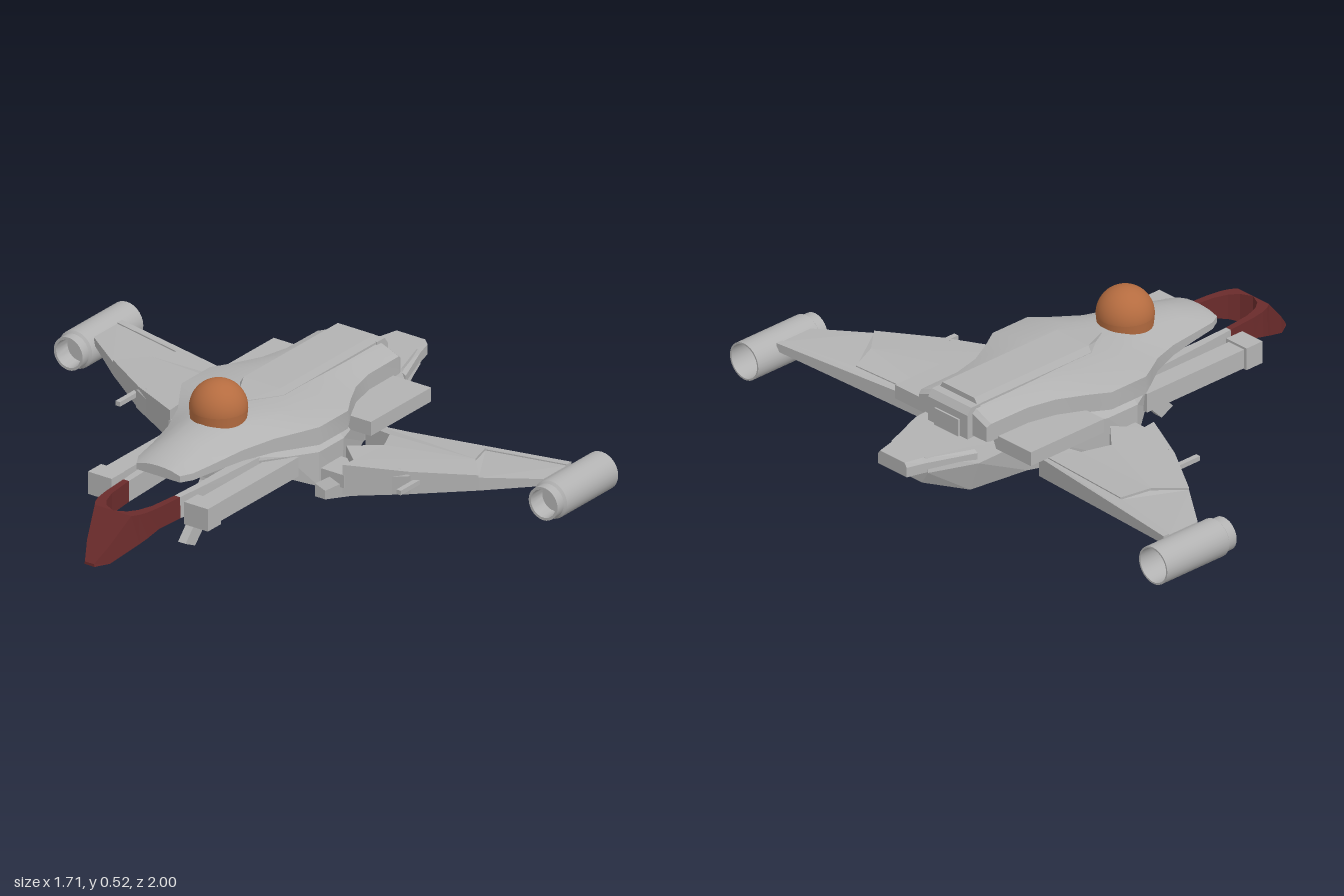
import * as THREE from 'three';
import { toCreasedNormals } from 'three/addons/utils/BufferGeometryUtils.js';

const mat = (name, color) => new THREE.MeshStandardMaterial({ name, color });

// Skin a row of closed rings [x, [[z, y], ...]] running towards +x, with end caps
function loft(stations) {
  const pos = [];
  const rings = stations.map(([x, ring]) => ring.map(([z, y]) => [x, y, z]));
  const tri = (...p) => p.forEach((q) => pos.push(...q));
  const n = rings[0].length;
  for (let i = 0; i + 1 < rings.length; i++) {
    for (let j = 0; j < n; j++) {
      const k = (j + 1) % n, a = rings[i], b = rings[i + 1];
      tri(a[j], a[k], b[k]);
      tri(a[j], b[k], b[j]);
    }
  }
  const first = rings[0], last = rings[rings.length - 1];
  for (let j = 1; j + 1 < n; j++) {
    tri(last[0], last[j], last[j + 1]);
    tri(first[0], first[j + 1], first[j]);
  }
  const g = new THREE.BufferGeometry();
  g.setAttribute('position', new THREE.Float32BufferAttribute(pos, 3));
  g.computeVertexNormals();
  return g;
}

// Full ring from a half profile that runs top to bottom on the +z side
const mirrorRing = (half) => [...half, ...half.map(([z, y]) => [-z, y]).reverse()];

// Flat-shaded copy reflected across z = 0
function mirrorZ(geo) {
  const g = geo.index ? geo.toNonIndexed() : geo.clone();
  const p = g.attributes.position;
  const read = (i) => [p.getX(i), p.getY(i), -p.getZ(i)];
  for (let i = 0; i < p.count; i += 3) {
    const [a, b, c] = [read(i), read(i + 1), read(i + 2)];
    p.setXYZ(i, ...a);
    p.setXYZ(i + 1, ...c);
    p.setXYZ(i + 2, ...b);
  }
  g.computeVertexNormals();
  return g;
}

const shapeOf = (pts) => new THREE.Shape(pts.map(([x, y]) => new THREE.Vector2(x, y)));

// Side-view outline (x, y) extruded about z = 0
function slab(pts, width) {
  return new THREE.ExtrudeGeometry(shapeOf(pts), { depth: width, bevelEnabled: false }).translate(0, 0, -width / 2);
}

function box(x0, x1, y0, y1, z0, z1) {
  return new THREE.BoxGeometry(x1 - x0, y1 - y0, z1 - z0).translate((x0 + x1) / 2, (y0 + y1) / 2, (z0 + z1) / 2);
}

// Plan outline (x, z) extruded upwards, its top and bottom bent to the wing section
function wingPanel(pts, drop) {
  const g = new THREE.ExtrudeGeometry(shapeOf(pts.map(([x, z]) => [x, -z])), { depth: 1, bevelEnabled: false });
  g.rotateX(-Math.PI / 2);
  const p = g.attributes.position;
  for (let i = 0; i < p.count; i++) {
    const x = p.getX(i), z = p.getZ(i);
    const v = THREE.MathUtils.clamp((z - 0.28) / 0.6, 0, 1);
    const lead = 0.05 + 0.31 * v, trail = 0.42 + 0.09 * v;
    const c = THREE.MathUtils.clamp((x - lead) / (trail - lead), 0, 1);
    const top = 0.247 - 0.015 * v - 0.05 * c ** 4 * (1 - v) - drop;
    p.setY(i, p.getY(i) > 0.5 ? top : 0.135 + 0.065 * v);
  }
  g.computeVertexNormals();
  return g;
}

export function createModel() {
  const model = new THREE.Group();
  const grey = mat('hull grey', 0xb2b2b2);
  const red = mat('dark red', 0x6a2b2b);
  const copper = mat('copper', 0xb56c40);

  const add = (name, geo, material = grey) => {
    const m = new THREE.Mesh(geo, material);
    m.name = name;
    model.add(m);
    return m;
  };
  const addPair = (name, geo, material = grey) => {
    add(name + 'Left', geo, material);
    add(name + 'Right', mirrorZ(geo), material);
  };

  // Upper hull: x, half width, edge height, top height
  const upper = [
    [-0.49, 0.085, 0.33, 0.343], [-0.45, 0.108, 0.332, 0.362], [-0.35, 0.125, 0.336, 0.388],
    [-0.24, 0.148, 0.345, 0.405], [-0.13, 0.19, 0.355, 0.408], [-0.06, 0.235, 0.363, 0.408],
    [0, 0.272, 0.37, 0.408], [0.15, 0.272, 0.37, 0.408], [0.22, 0.23, 0.37, 0.408],
    [0.31, 0.185, 0.37, 0.408], [0.41, 0.162, 0.37, 0.408], [0.57, 0.16, 0.37, 0.408], [0.585, 0.155, 0.36, 0.395],
  ];
  add('upperHull', toCreasedNormals(loft(upper.map(([x, w, e, t]) => [x, mirrorRing([
    [0, t], [w * 0.3, t - (t - e) * 0.08], [w * 0.6, t - (t - e) * 0.3], [w, e], [w, 0.308], [0, 0.308],
  ])])), 0.6));

  // Raised spine and the latch block behind it
  add('spine', loft([[-0.05, 0.02, 0.41], [0.06, 0.085, 0.426], [0.56, 0.085, 0.426]].map(
    ([x, w, t]) => [x, mirrorRing([[0, t], [w * 0.85, t], [w, t - 0.02], [w, 0.38], [0, 0.38]])])));
  add('rearLatch', slab([[0.55, 0.28], [0.607, 0.28], [0.607, 0.385], [0.59, 0.408], [0.55, 0.408]], 0.18));
  add('latchBar', box(0.595, 0.614, 0.3, 0.36, -0.055, 0.055));

  // Lower hull tapering to the tail: x, half width, top, shoulder, bottom, bottom width ratio
  const lower = [
    [-0.28, 0.07, 0.309, 0.28, 0.23, 0.8], [-0.08, 0.2, 0.309, 0.275, 0.2, 0.95],
    [0.02, 0.255, 0.309, 0.27, 0.15, 1], [0.15, 0.255, 0.309, 0.27, 0.137, 0.98],
    [0.4, 0.165, 0.309, 0.255, 0.135, 0.9], [0.62, 0.155, 0.3, 0.245, 0.135, 0.75], [0.78, 0.09, 0.295, 0.245, 0.2, 0.7],
  ];
  add('lowerHull', loft(lower.map(([x, w, t, m, b, r]) => [x, mirrorRing([
    [0, t], [w * 0.85, t], [w, m], [w * r, b], [0, b],
  ])])));
  add('tailTip', loft([[0.62, 0.15], [0.79, 0.083], [0.85, 0.066]].map(
    ([x, w]) => [x, mirrorRing([[0, 0.295], [w * 0.85, 0.295], [w, 0.28], [w, 0.246], [0, 0.246]])])));

  // Side pods
  addPair('sidePod', box(0.22, 0.54, 0.266, 0.315, 0.12, 0.31));

  // Side guns
  addPair('gunBarrel', box(-0.49, -0.05, 0.203, 0.27, 0.155, 0.225));
  addPair('gunMuzzle', box(-0.545, -0.475, 0.2, 0.278, 0.143, 0.236));

  // Forked prow: x, inner z, outer z, bottom, top
  const forkRing = ([x, i, o, b, t]) => [x, [[i, t], [o * 0.9 + i * 0.1, t], [o, b], [i, b]]];
  addPair('prow', loft([
    [-0.855, 0, 0.02, 0.133, 0.142], [-0.81, 0, 0.048, 0.135, 0.193], [-0.73, 0, 0.08, 0.168, 0.278],
    [-0.71, 0.04, 0.09, 0.178, 0.278], [-0.68, 0.062, 0.1, 0.19, 0.278], [-0.63, 0.079, 0.107, 0.205, 0.278],
    [-0.525, 0.09, 0.114, 0.205, 0.278],
  ].map(forkRing)), red);
  addPair('prowRail', loft([
    [-0.525, 0.09, 0.114, 0.205, 0.278], [-0.4, 0.095, 0.125, 0.205, 0.278], [-0.1, 0.11, 0.16, 0.205, 0.29],
  ].map(forkRing)));

  // Dome on a short collar
  add('dome', new THREE.SphereGeometry(0.094, 32, 16, 0, Math.PI * 2, 0, Math.PI / 2).translate(-0.17, 0.429, 0), copper);
  add('domeCollar', new THREE.CylinderGeometry(0.094, 0.09, 0.045, 32).translate(-0.17, 0.4065, 0), copper);

  // Landing strut and belly keel
  add('strutLeg', slab([[-0.365, 0.027], [-0.315, 0.003], [-0.22, 0.1], [-0.26, 0.14]], 0.03));
  add('strutBody', slab([[-0.275, 0.135], [-0.235, 0.09], [-0.1, 0.19], [-0.05, 0.29], [-0.21, 0.29], [-0.23, 0.19]], 0.06));
  add('keel', slab([[-0.07, 0.21], [-0.07, 0.108], [-0.025, 0.108], [-0.025, 0.075], [0.06, 0.075], [0.24, 0.09],
    [0.355, 0.1], [0.355, 0.16]], 0.05));

  // Wings: inner and outer panels with a trailing flap
  addPair('wingInner', wingPanel([[0.03, 0.34], [0.12, 0.53], [0.24, 0.72], [0.33, 0.64], [0.43, 0.605],
    [0.39, 0.2], [0.34, 0.2], [0.32, 0.31], [0.23, 0.355], [0.15, 0.265], [0.08, 0.345]], 0));
  addPair('wingOuter', wingPanel([[0.24, 0.72], [0.36, 0.885], [0.485, 0.885], [0.43, 0.605], [0.33, 0.64]], 0.008));
  addPair('wingFlap', wingPanel([[0.39, 0.2], [0.43, 0.605], [0.485, 0.885], [0.51, 0.885], [0.4, 0.2]], 0.004));

  // Blade along each wing root, and a small wing gun
  addPair('rootBlade', loft([[0.005, 0.27, 0.12, 0.165], [0.05, 0.34, 0.135, 0.21], [0.12, 0.52, 0.165, 0.243]].map(
    ([x, z, b, t]) => [x, [[z - 0.02, t], [z + 0.02, t - 0.015], [z + 0.02, b], [z - 0.02, b]]])));
  addPair('rootLink', box(0.03, 0.14, 0.165, 0.21, 0.22, 0.345));
  addPair('wingGun', box(0.04, 0.18, 0.197, 0.213, 0.544, 0.562));

  // Wingtip engines: nose ring, casing and hollow exhaust
  const profile = [[0, 0.35], [0.046, 0.35], [0.048, 0.292], [0.057, 0.292], [0.057, 0.325], [0.065, 0.332],
    [0.065, 0.603], [0.059, 0.603], [0.056, 0.43], [0, 0.43]].map(([r, x]) => new THREE.Vector2(r, x));
  const engine = toCreasedNormals(new THREE.LatheGeometry(profile, 28).rotateZ(-Math.PI / 2), 0.6);
  for (const s of [1, -1]) {
    add(s > 0 ? 'engineLeft' : 'engineRight', engine).position.set(0, 0.177, s * 0.935);
  }

  return model;
}
